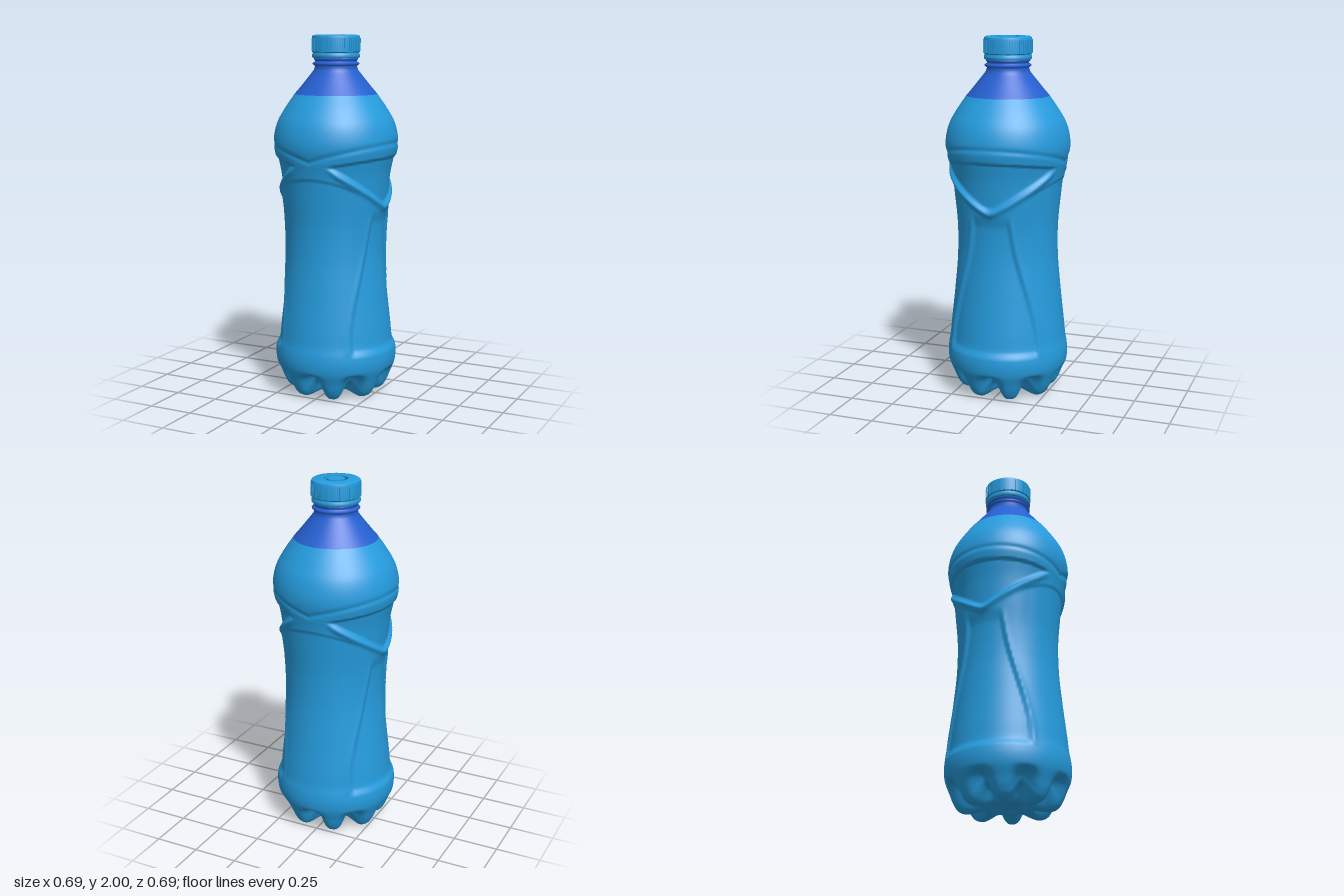
import * as THREE from 'three';
import { mergeGeometries, toCreasedNormals } from 'three/addons/utils/BufferGeometryUtils.js';
import { ParametricGeometry } from 'three/addons/geometries/ParametricGeometry.js';

const { smoothstep } = THREE.MathUtils;
const bump = (d, w) => Math.exp(-(d * d) / (w * w));

// Radius / height profile of the body, from the centre of the base to the shoulder
const PROFILE = [
  [0.001, 0.05], [0.08, 0.046], [0.11, 0.03], [0.17, 0.008], [0.23, 0.005], [0.265, 0.022],
  [0.29, 0.06], [0.31, 0.11], [0.333, 0.17], [0.34, 0.22], [0.337, 0.27], [0.328, 0.32],
  [0.32, 0.4], [0.298, 0.6], [0.281, 0.8], [0.283, 0.95], [0.298, 1.1], [0.315, 1.25],
  [0.331, 1.33], [0.344, 1.4], [0.341, 1.46], [0.322, 1.53], [0.28, 1.605], [0.228, 1.68],
];

// Moulded relief added to the radius; s is the angle away from the nearer side (+x or -x)
function relief(y, s) {
  const f = s / (Math.PI / 2);
  let d = 0;
  // side panels, narrow at the waist and wide near the base
  const width = 0.36 + 0.5 * smoothstep(1.08 - y, 0, 0.75);
  const inPanel = 1 - smoothstep(s, width - 0.06, width + 0.05);
  const panelSpan = smoothstep(y, 0.26, 0.31) * (1 - smoothstep(y, 0.98, 1.07));
  d -= 0.012 * inPanel * panelSpan;
  d += 0.004 * bump(s - width - 0.04, 0.06) * panelSpan;
  // V-shaped ridge rising from each side
  const vLine = 1.07 + 0.19 * (Math.sqrt(s * s + 0.01) - 0.1);
  const vFade = 1 - smoothstep(f, 0.66, 0.85);
  d += 0.011 * bump(y - vLine, 0.02) * vFade;
  // shoulder overhang above a shallow band
  const step = 1.345 - 0.06 * f * f;
  const band = smoothstep(y, vLine, vLine + 0.04) * (1 - smoothstep(y, step - 0.012, step + 0.012));
  d -= 0.012 * band;
  // crease sweeping around the shoulder
  d -= 0.005 * bump(y - (1.42 - 0.09 * f * f), 0.014);
  // arched top of the front and back panels
  const arch = 1.235 - 0.25 * (1 - f) * (1 - f);
  const archFade = smoothstep(f, 0.4, 0.6);
  d -= 0.006 * archFade * smoothstep(y, 0.8, 1.1) * (1 - smoothstep(y, arch - 0.012, arch + 0.012));
  return d;
}

function bodyGeometry() {
  const curve = new THREE.CatmullRomCurve3(PROFILE.map(([r, y]) => new THREE.Vector3(r, y, 0)));
  curve.arcLengthDivisions = 1200;
  const p = new THREE.Vector3();
  return new ParametricGeometry((u, v, target) => {
    const a = u * Math.PI * 2;
    curve.getPointAt(Math.min(Math.max(v, 0), 1), p);
    let r = p.x, y = p.y;
    const s = Math.asin(Math.min(1, Math.abs(Math.cos(a))));
    if (y > 0.25) r += relief(y, s);
    // eight notches between the feet
    const notch = Math.pow((1 + Math.cos(8 * a)) / 2, 1.6);
    const w = notch * (1 - smoothstep(y, 0.04, 0.18)) * smoothstep(p.x, 0.11, 0.23);
    r -= 0.035 * w;
    y += 0.085 * w;
    target.set(Math.sin(a) * r, y, Math.cos(a) * r);
  }, 160, 240);
}

const lathe = (pts, n = 96) =>
  new THREE.LatheGeometry(pts.map(([r, y]) => new THREE.Vector2(r, y)), n);

export function createModel() {
  const group = new THREE.Group();
  const cyan = new THREE.MeshStandardMaterial({ color: 0x259cde });
  cyan.name = 'light blue plastic';
  const blue = new THREE.MeshStandardMaterial({ color: 0x2560d0 });
  blue.name = 'deep blue plastic';
  const add = (name, geometry, material) => {
    const mesh = new THREE.Mesh(geometry, material);
    mesh.name = name;
    group.add(mesh);
  };

  add('body', bodyGeometry(), cyan);

  // Neck cone with its support ring
  add('neck', lathe([
    [0.228, 1.68], [0.198, 1.715], [0.168, 1.752], [0.14, 1.787], [0.122, 1.81], [0.114, 1.832],
    [0.124, 1.838], [0.129, 1.845], [0.124, 1.851], [0.115, 1.855], [0.114, 1.862],
    [0.121, 1.868], [0.121, 1.875], [0.112, 1.88], [0.112, 1.9],
  ]), blue);

  // Cap with a tamper band below and a narrow circular slot in its top
  add('cap', toCreasedNormals(lathe([
    [0.11, 1.876], [0.127, 1.876], [0.131, 1.881], [0.131, 1.895], [0.127, 1.9], [0.127, 1.905],
    [0.132, 1.91], [0.132, 1.985], [0.129, 1.995], [0.121, 2], [0.065, 2], [0.065, 1.955],
  ]), 0.7), cyan);
  add('capCentre', toCreasedNormals(lathe([[0.047, 1.955], [0.047, 2], [0.0001, 2]], 48), 0.7), cyan);
  const floor = new THREE.RingGeometry(0.046, 0.066, 64);
  floor.rotateX(-Math.PI / 2).translate(0, 1.956, 0);
  add('capSlotFloor', floor, blue);

  // Grip ribs around the cap
  const ribs = [];
  for (let i = 0; i < 60; i++) {
    const rib = new THREE.BoxGeometry(0.006, 0.07, 0.006);
    rib.translate(0, 1.947, 0.132).rotateY((i / 60) * Math.PI * 2);
    ribs.push(rib);
  }
  add('capRibs', mergeGeometries(ribs), cyan);

  return group;
}
